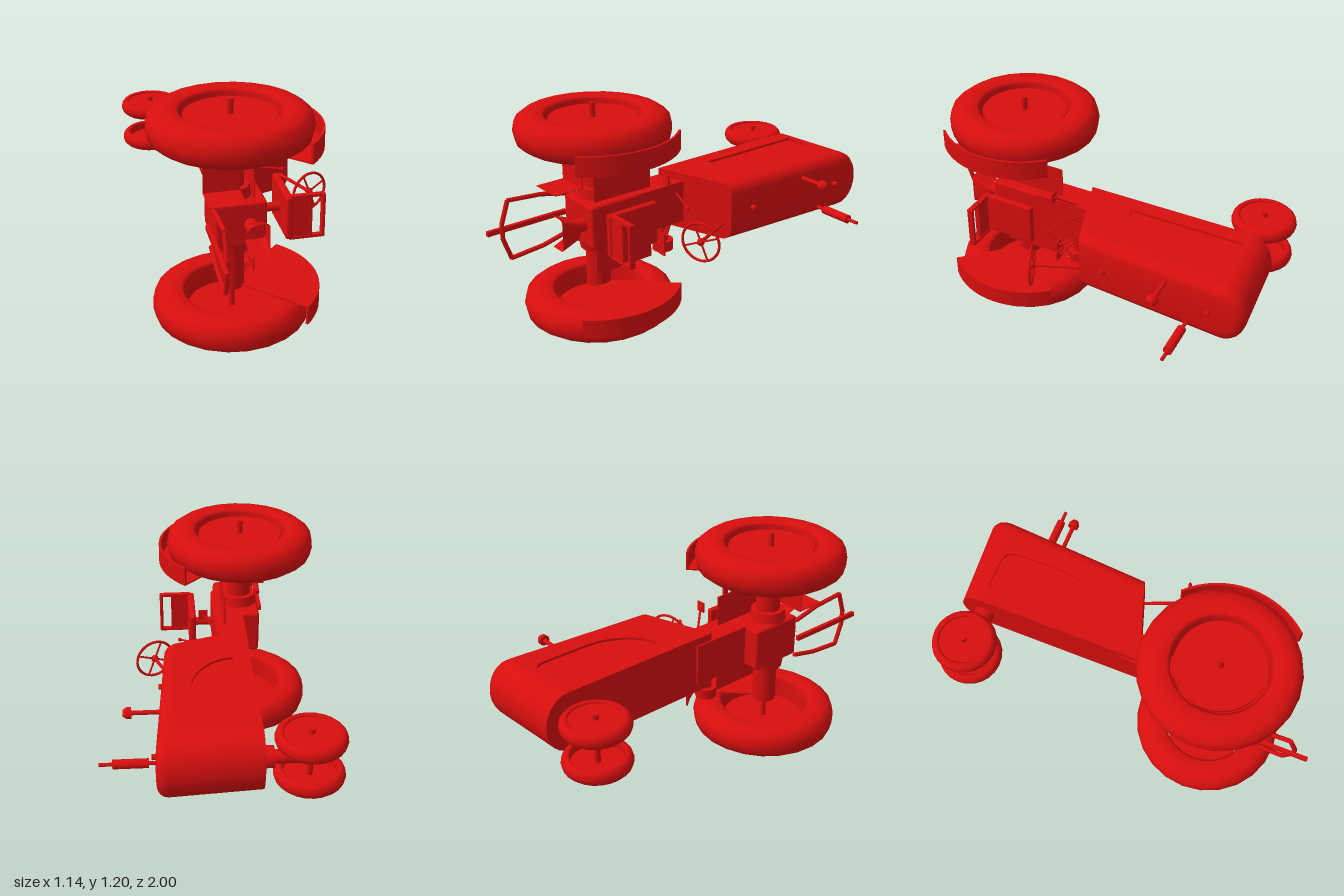
import * as THREE from 'three';
import { toCreasedNormals } from 'three/addons/utils/BufferGeometryUtils.js';
import { RoundedBoxGeometry } from 'three/addons/geometries/RoundedBoxGeometry.js';

// A tractor resting on its side: its own "up" is +x, its nose points to -z, its axles run along y.
export function createModel() {
  const model = new THREE.Group();
  const red = new THREE.MeshStandardMaterial({ color: 0xd80e0e, side: THREE.DoubleSide });
  red.name = 'tractorRed';
  const V = (x, y, z) => new THREE.Vector3(x, y, z);

  const add = (name, geo, x = 0, y = 0, z = 0) => {
    const mesh = new THREE.Mesh(geo, red);
    mesh.name = name;
    mesh.position.set(x, y, z);
    model.add(mesh);
    return mesh;
  };
  // box from its minimum and maximum corners
  const box = (name, x0, x1, y0, y1, z0, z1, round = 0) => {
    const s = [x1 - x0, y1 - y0, z1 - z0];
    const geo = round ? new RoundedBoxGeometry(...s, 3, round) : new THREE.BoxGeometry(...s);
    return add(name, geo, (x0 + x1) / 2, (y0 + y1) / 2, (z0 + z1) / 2);
  };
  // round bar between two points
  const rod = (name, a, b, r, r2 = r, sides = 16) => {
    const dir = b.clone().sub(a);
    const mesh = add(name, new THREE.CylinderGeometry(r2, r, dir.length(), sides));
    mesh.position.copy(a).add(b).multiplyScalar(0.5);
    mesh.quaternion.setFromUnitVectors(V(0, 1, 0), dir.normalize());
    return mesh;
  };
  // outline in the x-z plane, extruded downwards from yTop
  const slab = (name, shape, yTop, depth, curveSegments = 8) => {
    const geo = new THREE.ExtrudeGeometry(shape, { depth, bevelEnabled: false, curveSegments });
    return add(name, toCreasedNormals(geo.rotateX(Math.PI / 2), 0.5), 0, yTop, 0);
  };

  // --- wheels, with the discs set towards the outside ---
  const wheel = (name, x, y, z, profile, discR, discT, discOffset) => {
    const half = profile.map(([r, h]) => new THREE.Vector2(r, h));
    const mirror = half.slice(0, -1).reverse().map((p) => new THREE.Vector2(p.x, -p.y));
    add(name + 'Tyre', new THREE.LatheGeometry([...half, ...mirror, half[0].clone()], 24), x, y, z);
    add(name + 'Disc', new THREE.CylinderGeometry(discR, discR, discT, 32), x, y + discOffset, z);
  };
  const rearProfile = [[0.235, -0.066], [0.25, -0.079], [0.3, -0.083], [0.345, -0.076], [0.38, -0.05], [0.391, 0]];
  const frontProfile = [[0.125, -0.03], [0.132, -0.037], [0.147, -0.036], [0.161, -0.022], [0.167, 0]];
  for (const s of [-1, 1]) {
    wheel('rearWheel', -0.18, 0.6 + s * 0.4725, 0.45, rearProfile, 0.219, 0.02, s * 0.04);
    wheel('frontWheel', -0.395, 0.6 + s * 0.096, -0.83, frontProfile, 0.126, 0.02, s * 0.018);
  }
  rod('rearAxle', V(-0.18, 0, 0.45), V(-0.18, 1.195, 0.45), 0.015);
  rod('frontAxle', V(-0.395, 0.45, -0.83), V(-0.395, 0.75, -0.83), 0.015);
  rod('frontPedestal', V(-0.42, 0.6, -0.83), V(-0.22, 0.6, -0.83), 0.033);
  rod('pedestalCollar', V(-0.23, 0.6, -0.83), V(-0.17, 0.6, -0.83), 0.052);

  // --- hood: stacked outlines with a round nose and rounded top edge ---
  const lip = 0.055, arcN = 12, noseZ = -0.832;
  const ring = (d, drop, bottom) => {
    const rx = bottom ? -0.18 : (0.2397 - drop) / 0.9764;
    const rz = -0.0094 - 0.33 * rx;
    const pts = [V(rx, 0.445 + d, rz)];
    for (let i = 0; i <= arcN; i++) {
      const a = -Math.PI / 2 + (Math.PI * i) / arcN;
      const z = noseZ - (0.123 - d) * Math.cos(a);
      const x = bottom ? -0.18 : 0.239 - 0.0714 * z - drop;
      pts.push(V(x, 0.6 + (0.155 - d) * Math.sin(a), z - 0.07 * (x + 0.18)));
    }
    pts.push(V(rx, 0.755 - d, rz));
    return pts;
  };
  const rings = [ring(0, 0, true)];
  for (let k = 0; k <= 4; k++) {
    const a = (k / 4) * Math.PI / 2;
    rings.push(ring(lip * (1 - Math.cos(a)), lip * (1 - Math.sin(a)), false));
  }
  const pos = [], n = rings[0].length;
  const quad = (a, b, c, d) => [a, b, c, a, c, d].forEach((p) => pos.push(p.x, p.y, p.z));
  for (let k = 0; k + 1 < rings.length; k++) {
    for (let i = 0; i < n; i++) {
      if (k === 0 && (i === 0 || i === n - 2)) continue; // flat sides are separate plates
      const j = (i + 1) % n;
      quad(rings[k][i], rings[k + 1][i], rings[k + 1][j], rings[k][j]);
    }
  }
  const top = rings[rings.length - 1], base = rings[0];
  for (let i = 0; i < n / 2 - 1; i++) {
    const j = n - 1 - i;
    quad(top[i], top[j], top[j - 1], top[i + 1]);
    quad(base[i], base[i + 1], base[j - 1], base[j]);
  }
  const hoodGeo = new THREE.BufferGeometry();
  hoodGeo.setAttribute('position', new THREE.Float32BufferAttribute(pos, 3));
  add('hood', toCreasedNormals(hoodGeo, 0.6));

  // hood sides with a shallow recessed panel
  const outline = [rings[0][0], rings[0][1], rings[1][1], rings[1][0]];
  const side = new THREE.Shape(outline.map((p) => new THREE.Vector2(p.x, p.z)));
  const panel = new THREE.Shape();
  panel.moveTo(-0.09, -0.826);
  panel.lineTo(0.06, -0.826);
  panel.quadraticCurveTo(0.13, -0.82, 0.13, -0.74);
  panel.lineTo(0.13, -0.5);
  panel.bezierCurveTo(0.125, -0.36, 0.04, -0.23, -0.09, -0.22);
  panel.closePath();
  side.holes.push(panel);
  for (const [yTop, floor] of [[0.755, 0.743], [0.457, 0.457]]) {
    slab('hoodSide', side, yTop, 0.012, 12);
    add('hoodSidePanel', new THREE.ShapeGeometry(panel, 12).rotateX(Math.PI / 2), 0, floor, 0);
  }

  // --- things on top of the hood ---
  rod('exhaustPipe', V(0.28, 0.485, -0.695), V(0.568, 0.485, -0.695), 0.009);
  rod('muffler', V(0.335, 0.485, -0.695), V(0.505, 0.485, -0.695), 0.023);
  rod('intakePipe', V(0.26, 0.685, -0.57), V(0.42, 0.685, -0.57), 0.011);
  rod('intakeCap', V(0.41, 0.685, -0.57), V(0.432, 0.685, -0.57), 0.028);
  rod('intakeCapTop', V(0.432, 0.685, -0.57), V(0.45, 0.685, -0.57), 0.028, 0.016);
  rod('radiatorCap', V(0.28, 0.6, -0.8), V(0.32, 0.6, -0.8), 0.014);
  rod('fuelCap', V(0.24, 0.6, -0.23), V(0.28, 0.6, -0.23), 0.014);

  // --- transmission, axle housings and platforms ---
  box('transmission', -0.19, -0.03, 0.49, 0.715, -0.05, 0.3);
  box('rearHousing', -0.28, -0.03, 0.487, 0.717, 0.28, 0.575, 0.015);
  for (const s of [-1, 1]) {
    rod('axleBell', V(-0.18, 0.6 + s * 0.1, 0.45), V(-0.18, 0.6 + s * 0.17, 0.45), 0.1, 0.088, 24);
    rod('axleHousing', V(-0.18, 0.6 + s * 0.15, 0.45), V(-0.18, 0.6 + s * 0.382, 0.45), 0.063, 0.063, 24);
  }
  box('leftPlatform', -0.086, -0.08, 0.715, 0.88, 0.18, 0.525);
  box('rightPlatform', -0.086, -0.08, 0.32, 0.49, 0.18, 0.525);
  box('rearPlate', -0.33, -0.155, 0.77, 0.915, 0.54, 0.545);
  box('rearPlateFlange', -0.33, -0.155, 0.772, 0.776, 0.54, 0.7);

  // --- fenders: inner sector plate and outer band ---
  const A = Math.PI / 4, R = 0.434;
  const sector = new THREE.Shape();
  sector.moveTo(-0.18, 0.45);
  sector.lineTo(-0.18 + R * Math.cos(A), 0.45 - R * Math.sin(A));
  sector.absarc(-0.18, 0.45, R, -A, A, false);
  sector.closePath();
  const band = new THREE.Shape();
  band.absarc(-0.18, 0.45, R, -A, A, false);
  band.absarc(-0.18, 0.45, R - 0.012, A, -A, true);
  band.closePath();
  for (const [plateY, bandY] of [[0.978, 1.07], [0.23, 0.23]]) {
    slab('fenderPlate', sector, plateY, 0.008);
    slab('fenderBand', band, bandY, 0.1);
  }

  // --- seat with an open back frame ---
  rod('seatPost', V(-0.04, 0.605, 0.42), V(0.08, 0.605, 0.42), 0.022);
  box('seatCushion', 0.065, 0.1, 0.49, 0.715, 0.27, 0.56, 0.012);
  for (const y of [0.487, 0.704]) box('seatBackPost', 0.085, 0.25, y, y + 0.014, 0.53, 0.555);
  box('seatBackTop', 0.24, 0.258, 0.487, 0.718, 0.525, 0.56, 0.007);
  box('seatBackBar', 0.18, 0.194, 0.487, 0.718, 0.53, 0.555);
  box('seatBackPad', 0.085, 0.18, 0.5, 0.705, 0.535, 0.55);

  // --- steering wheel ---
  const axis = V(0.09, 0, 0.215).normalize(), hub = V(0.295, 0.53, 0.155);
  rod('steeringColumn', V(0.19, 0.53, -0.096), hub, 0.009);
  const steering = new THREE.Group();
  steering.name = 'steeringWheel';
  const rim = new THREE.Mesh(new THREE.TorusGeometry(0.102, 0.007, 8, 32), red);
  const boss = new THREE.Mesh(new THREE.SphereGeometry(0.02, 12, 8), red);
  rim.name = 'steeringRim';
  boss.name = 'steeringBoss';
  steering.add(rim, boss);
  for (let i = 0; i < 4; i++) {
    const spoke = new THREE.Mesh(new THREE.CylinderGeometry(0.005, 0.005, 0.1, 6).translate(0, 0.05, 0), red);
    spoke.name = 'steeringSpoke';
    spoke.rotation.z = Math.PI / 8 + (i * Math.PI) / 2;
    steering.add(spoke);
  }
  steering.position.copy(hub);
  steering.quaternion.setFromUnitVectors(V(0, 0, 1), axis);
  model.add(steering);

  // --- belt pulley, pedals and lever ---
  rod('beltPulley', V(-0.095, 0.333, 0.092), V(-0.095, 0.388, 0.092), 0.056, 0.056, 24);
  rod('pulleyShaft', V(-0.095, 0.38, 0.092), V(-0.095, 0.5, 0.092), 0.03);
  for (const [x, y, root] of [[0.033, 0.785, 0.7], [-0.005, 0.447, 0.5], [-0.005, 0.378, 0.5]]) {
    box('pedal', x - 0.024, x + 0.024, y - 0.027, y + 0.027, 0.162, 0.17);
    rod('pedalArm', V(-0.06, root, 0.06), V(x, y, 0.164), 0.006, 0.006, 8);
  }
  rod('gearLever', V(-0.04, 0.66, 0.045), V(0.16, 0.66, 0.128), 0.005, 0.005, 8);
  add('gearKnob', new THREE.SphereGeometry(0.01, 10, 8), 0.16, 0.66, 0.128);

  // --- power shaft and its flared shield, open underneath ---
  rod('powerShaft', V(-0.11, 0.605, 0.56), V(-0.11, 0.605, 0.66), 0.034);
  const shield = new THREE.Shape();
  shield.moveTo(-0.04, -0.085);
  shield.lineTo(0.03, -0.085);
  shield.quadraticCurveTo(0.055, -0.085, 0.055, -0.06);
  shield.lineTo(0.055, 0.06);
  shield.quadraticCurveTo(0.055, 0.085, 0.03, 0.085);
  shield.lineTo(-0.04, 0.085);
  const rimPts = shield.getPoints(5), shieldPos = [];
  for (let i = 0; i + 1 < rimPts.length; i++) {
    const [a, b] = [rimPts[i], rimPts[i + 1]], k = 0.5;
    const P = [[a.x, a.y, 0.73], [b.x, b.y, 0.73], [b.x, b.y * k, 0.63], [a.x, a.y * k, 0.63]];
    [0, 1, 2, 0, 2, 3].forEach((q) => shieldPos.push(...P[q]));
  }
  const shieldGeo = new THREE.BufferGeometry();
  shieldGeo.setAttribute('position', new THREE.Float32BufferAttribute(shieldPos, 3));
  add('shaftShield', toCreasedNormals(shieldGeo, 0.6), -0.11, 0.6, 0);

  // --- drawbar and its hoop ---
  box('drawbar', -0.322, -0.302, 0.59, 0.615, 0.55, 1);
  const hoop = [[0.105, 0.55], [0.14, 0.7], [0.155, 0.885], [0.04, 0.925]]; // half outline: y offset, z
  for (const s of [-1, 1]) {
    for (let i = 0; i + 1 < hoop.length; i++) {
      const [a, b] = [hoop[i], hoop[i + 1]].map(([y, z]) => V(-0.297, 0.6 + s * y, z));
      rod('hoopBar', a, b, 0.012, 0.012, 8);
    }
  }
  rod('hoopEnd', V(-0.297, 0.56, 0.925), V(-0.297, 0.64, 0.925), 0.012, 0.012, 8);
  return model;
}
